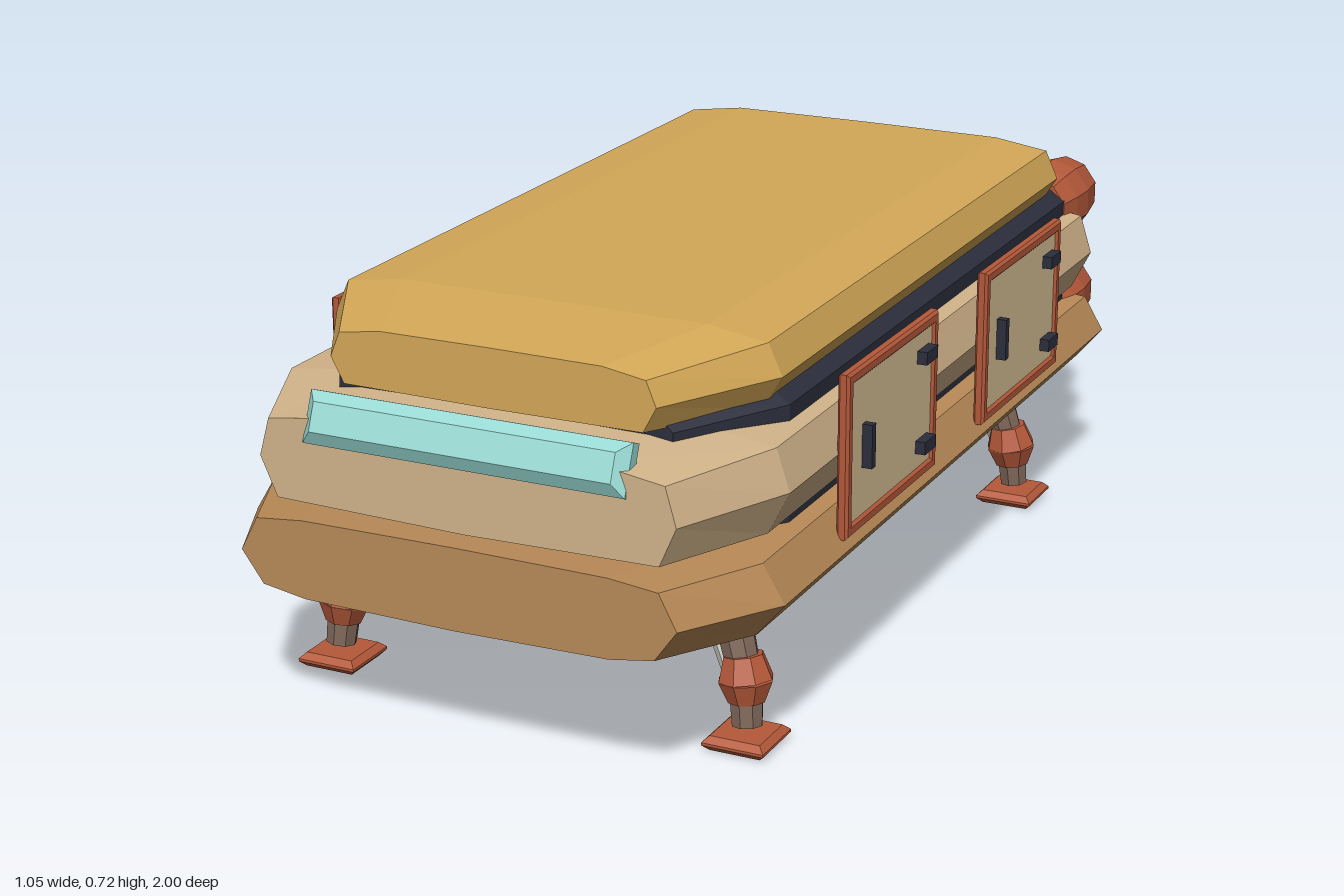
import * as THREE from 'three';

const mat = (color) => new THREE.MeshStandardMaterial({ color, flatShading: true });
const M = {
  lower: mat(0xb98a57), middle: mat(0xd2b48a), upper: mat(0xd4a857), rust: mat(0xb5593a),
  glass: mat(0x9adad4), dark: mat(0x2c2e3d), cream: mat(0xd8c096), leg: mat(0x80675a), steel: mat(0xc4c2bc),
};

function add(parent, name, geometry, material, x = 0, y = 0, z = 0) {
  const mesh = new THREE.Mesh(geometry, material);
  mesh.name = name;
  mesh.position.set(x, y, z);
  parent.add(mesh);
  return mesh;
}

// Loft of mirrored cross-sections; stations are [z, halfWidth, bottom, top]
function loft(profile, stations) {
  const ring = [...profile, ...profile.slice(1, -1).reverse().map(([u, v]) => [-u, v])];
  const n = ring.length;
  const pos = stations.flatMap(([z, w, y0, y1]) => ring.flatMap(([u, v]) => [u * w, y0 + v * (y1 - y0), z]));
  const index = [];
  for (let s = 0; s < stations.length - 1; s++) {
    for (let i = 0; i < n; i++) {
      const a = s * n + i, a1 = s * n + (i + 1) % n;
      index.push(a, a + n, a1, a1, a + n, a1 + n);
    }
  }
  const last = (stations.length - 1) * n;
  for (let i = 1; i < n - 1; i++) {
    index.push(0, i, i + 1, last, last + i + 1, last + i);
  }
  const g = new THREE.BufferGeometry();
  g.setAttribute('position', new THREE.Float32BufferAttribute(pos, 3));
  g.setIndex(index);
  g.computeVertexNormals();
  return g;
}

// Box with single chamfered edges, centred on its origin
function chamferBox(w, h, d, c) {
  const x = w / 2 - c, y = h / 2 - c;
  const shape = new THREE.Shape([[-x, -y], [x, -y], [x, y], [-x, y]].map((p) => new THREE.Vector2(...p)));
  return new THREE.ExtrudeGeometry(shape, {
    depth: d - 2 * c, bevelSize: c, bevelThickness: c, bevelSegments: 1,
  }).translate(0, 0, c - d / 2);
}

// Low-poly rod between two points
function rod(parent, name, from, to, r0, r1, material, sides = 8) {
  const a = new THREE.Vector3(...from), b = new THREE.Vector3(...to);
  const mesh = add(parent, name, new THREE.CylinderGeometry(r1, r0, a.distanceTo(b), sides), material);
  mesh.position.copy(a).lerp(b, 0.5);
  mesh.quaternion.setFromUnitVectors(new THREE.Vector3(0, 1, 0), b.sub(a).normalize());
  return mesh;
}

// Side hatch: frame, panel, handle and two hinges; side is +1 or -1
function makeHatch(side, z) {
  const g = new THREE.Group();
  g.name = 'sideHatch';
  const W = 0.41, H = 0.30, t = 0.018;
  const rect = (w, h) => [[-w, -h], [w, -h], [w, h], [-w, h]].map(([x, y]) => new THREE.Vector2(x / 2, y / 2));
  const shape = new THREE.Shape(rect(W - 0.01, H - 0.01));
  shape.holes.push(new THREE.Path(rect(W - 2 * t, H - 2 * t).reverse()));
  const frame = new THREE.ExtrudeGeometry(shape, {
    depth: 0.012, bevelSize: 0.005, bevelThickness: 0.005, bevelSegments: 1,
  }).translate(0, 0, -0.006);
  add(g, 'hatchFrame', frame, M.rust);
  add(g, 'hatchPanel', new THREE.BoxGeometry(W - 0.03, H - 0.03, 0.012), M.cream);
  add(g, 'hatchHandle', new THREE.BoxGeometry(0.016, 0.08, 0.03), M.dark, -side * 0.125, 0, 0.01);
  for (const y of [0.085, -0.085]) {
    add(g, 'hatchHinge', new THREE.BoxGeometry(0.052, 0.024, 0.03), M.dark, side * 0.14, y, 0.01);
  }
  g.rotation.y = side * Math.PI / 2;
  g.position.set(side * 0.502, 0.48, z);
  return g;
}

// Engine pod pointing backwards (axis along -z from its origin)
function makeEngine(x, y) {
  const g = new THREE.Group();
  g.name = 'engine';
  const turn = (points) => new THREE.LatheGeometry(points.map((p) => new THREE.Vector2(...p)), 10);
  add(g, 'enginePod', turn([[0, 0], [0.068, 0], [0.08, 0.05], [0.083, 0.11], [0.07, 0.19], [0, 0.19]]), M.rust);
  add(g, 'engineRim', turn([[0.069, 0.188], [0.058, 0.215], [0.044, 0.215], [0.044, 0.19]]), M.cream);
  add(g, 'engineCollar', turn([[0.05, 0.21], [0.047, 0.223], [0.038, 0.223]]), M.dark);
  add(g, 'engineGlow', turn([[0.042, 0.19], [0.042, 0.226], [0.034, 0.235], [0, 0.235]]), M.glass);
  g.rotation.x = -Math.PI / 2;
  g.position.set(x, y, -0.765);
  return g;
}

// Splayed landing leg; lean moves its top along z
function makeLeg(side, z, lean) {
  const g = new THREE.Group();
  g.name = 'landingLeg';
  const foot = add(g, 'footPad', chamferBox(0.116, 0.116, 0.027, 0.011), M.rust, side * 0.405, 0.0135, z);
  foot.rotation.x = Math.PI / 2;
  rod(g, 'shin', [side * 0.407, 0.038, z], [side * 0.4, 0.12, z - lean * 0.3], 0.028, 0.032, M.leg);
  rod(g, 'thigh', [side * 0.4, 0.12, z - lean * 0.3], [side * 0.355, 0.27, z - lean], 0.03, 0.036, M.leg);
  rod(g, 'kneeLower', [side * 0.403, 0.08, z - lean * 0.2], [side * 0.4, 0.118, z - lean * 0.3], 0.034, 0.05, M.rust);
  rod(g, 'kneeUpper', [side * 0.4, 0.118, z - lean * 0.3], [side * 0.393, 0.162, z - lean * 0.45], 0.05, 0.036, M.rust);
  rod(g, 'piston', [side * 0.372, 0.12, z - lean * 0.3], [side * 0.31, 0.25, z - lean], 0.013, 0.013, M.steel, 6);
  return g;
}

export function createModel() {
  const model = new THREE.Group();
  model.name = 'transportShuttle';

  // Three stacked hull decks
  add(model, 'lowerDeck', loft(
    [[0, 1], [0.7, 0.985], [0.92, 0.92], [1, 0.5], [0.9, 0.12], [0.7, 0.03], [0, 0]],
    [[-0.825, 0.505, 0.23, 0.39], [0.8, 0.515, 0.23, 0.392], [1, 0.415, 0.247, 0.397]]), M.lower);
  add(model, 'middleDeck', loft(
    [[0, 1], [0.6, 0.99], [0.95, 0.87], [1, 0.46], [0.92, 0.04], [0, 0]],
    [[-0.79, 0.485, 0.4, 0.585], [0.74, 0.495, 0.4, 0.585], [0.96, 0.395, 0.405, 0.575]]), M.middle);
  add(model, 'upperDeck', loft(
    [[0, 1], [0.68, 0.99], [0.94, 0.87], [1, 0.45], [0.92, 0.02], [0, 0]],
    [[-0.735, 0.425, 0.59, 0.722], [0.64, 0.435, 0.585, 0.722], [0.86, 0.31, 0.595, 0.702]]), M.upper);

  // Dark core filling the gaps between decks
  add(model, 'innerCore', loft(
    [[0, 1], [0.9, 1], [1, 0.88], [1, 0], [0, 0]],
    [[-0.78, 0.43, 0.36, 0.625], [0.62, 0.44, 0.36, 0.625], [0.82, 0.32, 0.36, 0.62]]), M.dark);

  // Tilted front window
  const visor = add(model, 'frontWindow', chamferBox(0.61, 0.092, 0.062, 0.02), M.glass, 0, 0.56, 0.938);
  visor.rotation.x = -0.38;

  // Rear bulkhead with cross beam and diagonal braces
  add(model, 'rearPanel', new THREE.BoxGeometry(0.78, 0.34, 0.07), M.rust, 0, 0.43, -0.798);
  add(model, 'rearBeam', chamferBox(0.7, 0.06, 0.04, 0.01), M.rust, 0, 0.475, -0.836);
  for (const [x, y, angle] of [[0.09, 0.54, 0.4], [-0.02, 0.36, -0.4]]) {
    const brace = add(model, 'rearBrace', new THREE.BoxGeometry(0.26, 0.026, 0.02), M.cream, x, y, -0.833);
    brace.rotation.z = angle;
  }

  // Paired engines, hatches and legs
  for (const side of [1, -1]) {
    for (const y of [0.567, 0.353]) model.add(makeEngine(side * 0.367, y));
    for (const z of [0.335, -0.315]) model.add(makeHatch(side, z));
    model.add(makeLeg(side, 0.714, 0.028), makeLeg(side, -0.585, -0.018));
  }
  return model;
}
